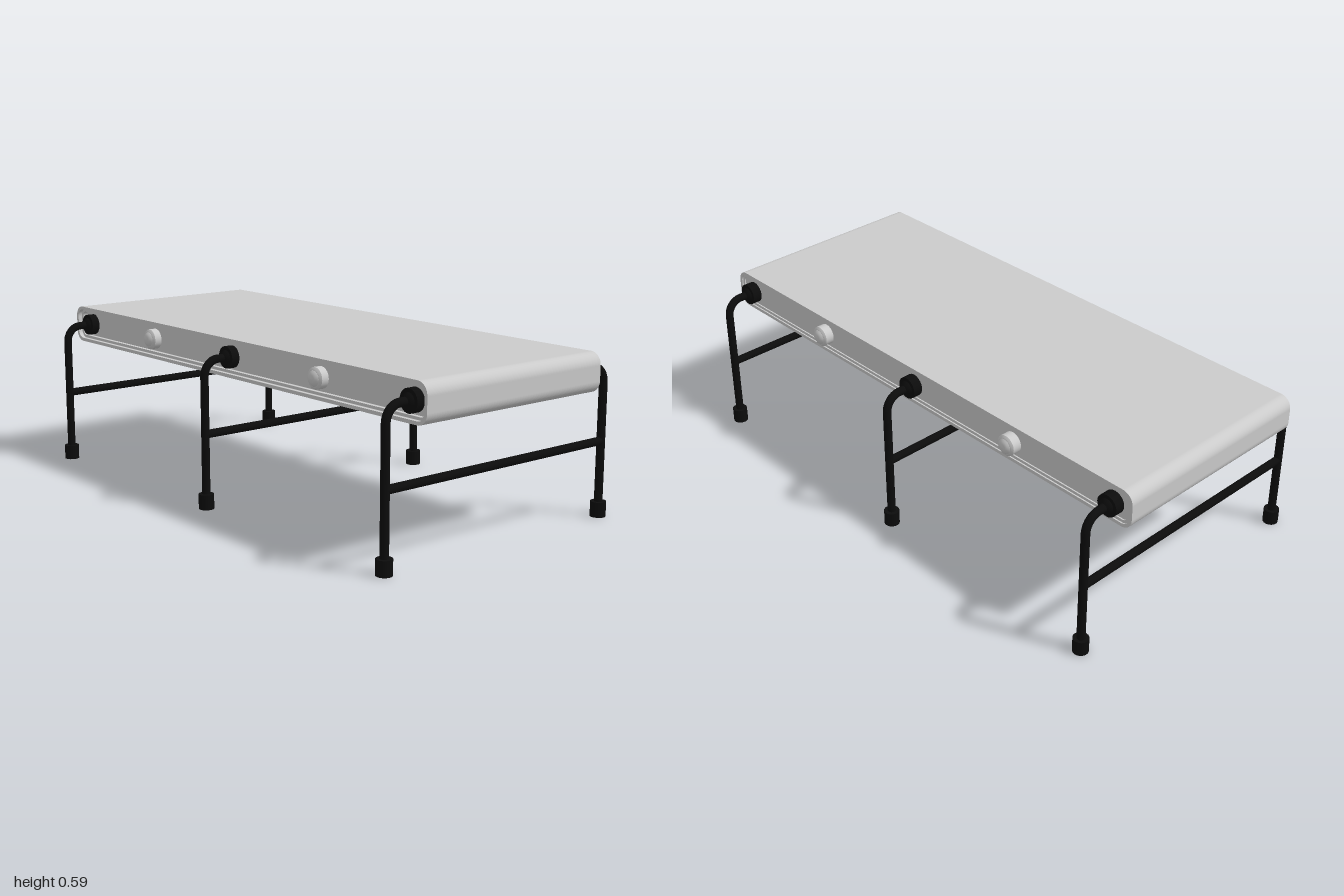
import * as THREE from 'three';

const AXIS_Y = 0.522; // height of the bed's centre line

// Rounded rectangle outline centred on the origin
function roundedRect(Type, w, h, r) {
  const s = new Type();
  const x = w / 2, y = h / 2;
  s.moveTo(-x + r, -y);
  s.lineTo(x - r, -y);
  s.absarc(x - r, -y + r, r, -Math.PI / 2, 0);
  s.lineTo(x, y - r);
  s.absarc(x - r, y - r, r, 0, Math.PI / 2);
  s.lineTo(-x + r, y);
  s.absarc(-x + r, y - r, r, Math.PI / 2, Math.PI);
  s.lineTo(-x, -y + r);
  s.absarc(-x + r, -y + r, r, Math.PI, Math.PI * 1.5);
  return s;
}

// Extruded slab between two z positions, optionally hollow
function slab(shape, z0, z1, hole) {
  if (hole) shape.holes.push(hole);
  const g = new THREE.ExtrudeGeometry(shape, { depth: z1 - z0, bevelEnabled: false, curveSegments: 10 });
  return g.translate(0, AXIS_Y, z0);
}

// Lathe whose axis points along +z
function latheZ(points, segments) {
  const g = new THREE.LatheGeometry(points.map(([r, h]) => new THREE.Vector2(r, h)), segments);
  return g.rotateX(Math.PI / 2);
}

export function createModel() {
  const model = new THREE.Group();
  model.name = 'conveyorBed';
  const grey = new THREE.MeshStandardMaterial({ color: 0xcccccc });
  const black = new THREE.MeshStandardMaterial({ color: 0x0c0c0c });

  const add = (parent, name, geometry, material) => {
    const mesh = new THREE.Mesh(geometry, material);
    mesh.name = name;
    parent.add(mesh);
    return mesh;
  };

  // Belt loop around the frame, set slightly towards the front
  add(model, 'belt', slab(
    roundedRect(THREE.Shape, 2, 0.136, 0.042), -0.375, 0.4,
    roundedRect(THREE.Path, 1.976, 0.112, 0.03)), grey);

  // Raised rim inside the belt and the recessed side panels
  add(model, 'frameRim', slab(
    roundedRect(THREE.Shape, 1.976, 0.112, 0.03), -0.37, 0.385,
    roundedRect(THREE.Path, 1.956, 0.092, 0.02)), grey);
  add(model, 'sidePanels', slab(
    roundedRect(THREE.Shape, 1.956, 0.092, 0.02), -0.365, 0.37), grey);

  // Geometry shared by the repeated parts, made for the front side
  const legPath = new THREE.CurvePath();
  const v = (y, z) => new THREE.Vector3(0, y, z);
  legPath.add(new THREE.LineCurve3(v(0.03, 0.49), v(0.465, 0.49)));
  legPath.add(new THREE.CubicBezierCurve3(
    v(0.465, 0.49), v(0.497, 0.49), v(AXIS_Y, 0.465), v(AXIS_Y, 0.435)));
  legPath.add(new THREE.LineCurve3(v(AXIS_Y, 0.435), v(AXIS_Y, 0.385)));
  const legGeo = new THREE.TubeGeometry(legPath, 80, 0.0145, 16, false);
  const footGeo = new THREE.CylinderGeometry(0.027, 0.027, 0.053, 24).translate(0, 0.0265, 0.49);
  const hubGeo = latheZ([
    [0, 0.36], [0.039, 0.36], [0.039, 0.36], [0.039, 0.4], [0.039, 0.4],
    [0.026, 0.4], [0.026, 0.4], [0.016, 0.414], [0, 0.414],
  ], 28).translate(0, AXIS_Y, 0);
  const knobGeo = latheZ([
    [0.037, 0.36], [0.037, 0.397], [0.037, 0.397], [0.03, 0.403], [0.027, 0.403],
    [0.027, 0.403], [0.021, 0.409], [0.012, 0.413], [0, 0.414],
  ], 28).translate(0, AXIS_Y, 0);
  const crossbarGeo = new THREE.CylinderGeometry(0.0145, 0.0145, 0.98, 16)
    .rotateX(Math.PI / 2).translate(0, 0.264, 0);

  // Three leg frames: a bent tube each side, joined by a crossbar
  for (const x of [-0.92, 0, 0.92]) {
    const frame = new THREE.Group();
    frame.name = 'legFrame';
    frame.position.x = x;
    add(frame, 'crossbar', crossbarGeo, black);
    for (const turn of [0, Math.PI]) {
      const side = new THREE.Group();
      side.name = turn ? 'backLeg' : 'frontLeg';
      side.rotation.y = turn;
      add(side, 'legTube', legGeo, black);
      add(side, 'foot', footGeo, black);
      add(side, 'hub', hubGeo, black);
      frame.add(side);
    }
    model.add(frame);
  }

  // Round bolt caps between the leg frames
  for (const x of [-0.48, 0.48]) {
    for (const turn of [0, Math.PI]) {
      const cap = add(model, turn ? 'backBoltCap' : 'frontBoltCap', knobGeo, grey);
      cap.position.x = x;
      cap.rotation.y = turn;
    }
  }

  // Lathe profiles run outward along the axis, so both faces are drawn
  grey.side = THREE.DoubleSide;
  black.side = THREE.DoubleSide;
  return model;
}
